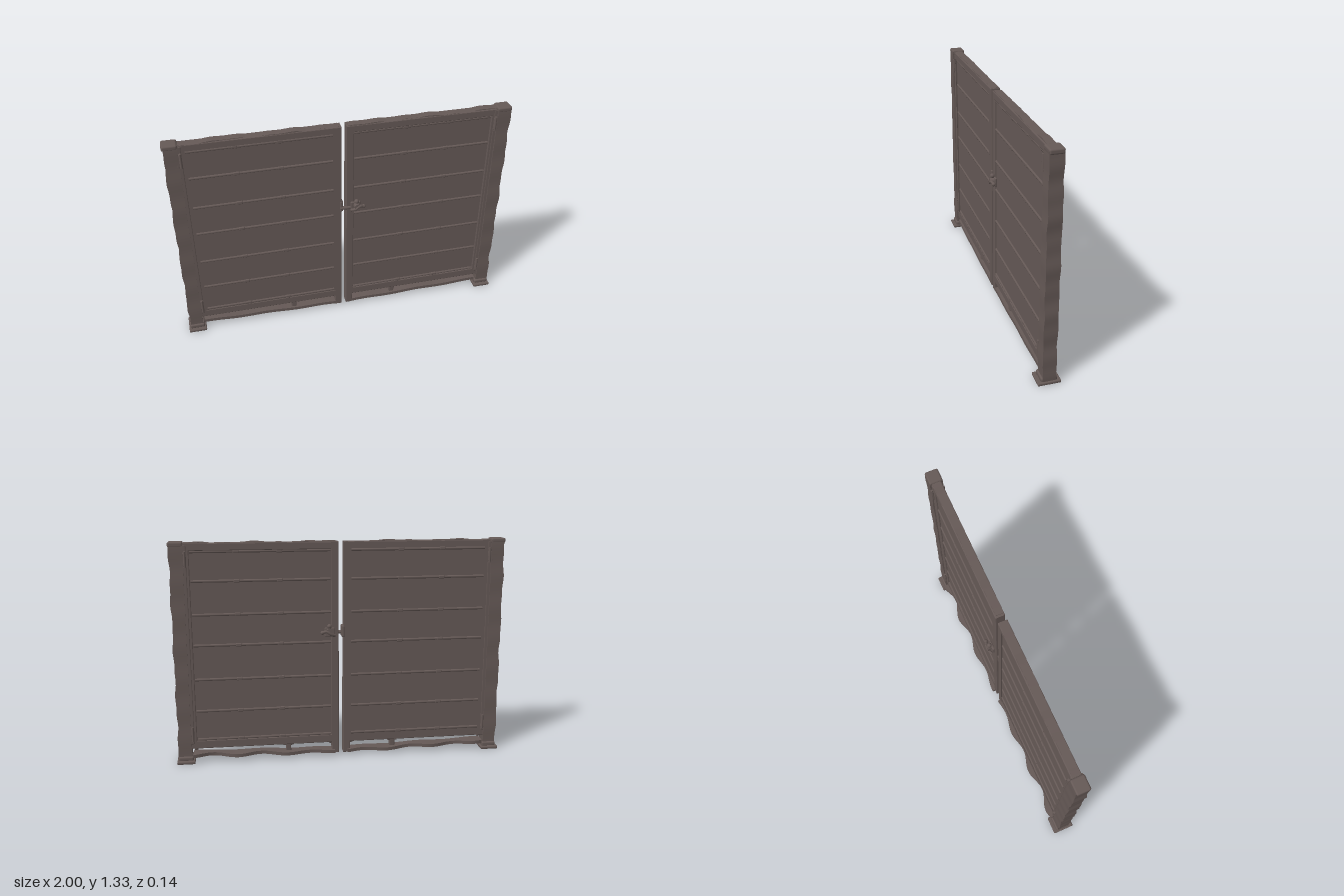
import * as THREE from 'three';
import { RoundedBoxGeometry } from 'three/addons/geometries/RoundedBoxGeometry.js';

const material = new THREE.MeshStandardMaterial({ color: 0x655956, side: THREE.DoubleSide });

function add(parent, name, geometry, x = 0, y = 0, z = 0) {
  const mesh = new THREE.Mesh(geometry, material);
  mesh.name = name;
  mesh.position.set(x, y, z);
  parent.add(mesh);
  return mesh;
}

const block = (w, h, d, r = 0.006) => new RoundedBoxGeometry(w, h, d, 2, r);

// Moves every vertex of a geometry by a rule
function bend(geometry, rule) {
  const p = geometry.attributes.position;
  const v = new THREE.Vector3();
  for (let i = 0; i < p.count; i++) {
    v.fromBufferAttribute(p, i);
    rule(v);
    p.setXYZ(i, v.x, v.y, v.z);
  }
  geometry.computeVertexNormals();
  return geometry;
}

// Rectangle path from corner to corner
function rect(path, x0, y0, x1, y1) {
  path.moveTo(x0, y0);
  path.lineTo(x1, y0);
  path.lineTo(x1, y1);
  path.lineTo(x0, y1);
  path.closePath();
  return path;
}

// One leaf on the side s (+1 or -1)
function makeLeaf(s) {
  const leaf = new THREE.Group();
  leaf.name = s > 0 ? 'leftLeaf' : 'rightLeaf';

  // Frame with a long meeting stile and one panel opening
  const shape = new THREE.Shape();
  [[0.018, 0.02], [0.05, 0.02], [0.054, 0.09], [0.915, 0.09], [0.915, 1.317], [0.018, 1.317]]
    .forEach(([x, y], i) => (i ? shape.lineTo(s * x, y) : shape.moveTo(s * x, y)));
  shape.closePath();
  shape.holes.push(rect(new THREE.Path(), s * 0.056, 0.132, s * 0.88, 1.282));
  const frame = new THREE.ExtrudeGeometry(shape, {
    depth: 0.046, bevelEnabled: true, bevelThickness: 0.005, bevelSize: 0.004, bevelSegments: 2,
  });
  add(leaf, 'frame', frame, 0, 0, -0.023);

  // Worn uneven top edge
  const top = bend(new THREE.BoxGeometry(0.88, 0.02, 0.046, 40, 1, 2), v => {
    if (v.y > 0) v.y += 0.003 * Math.sin(v.x * 17 + s) + 0.002 * Math.sin(v.x * 41);
    v.z += 0.003 * Math.sin(v.x * 13);
  });
  add(leaf, 'topEdge', top, s * 0.467, 1.313, 0);

  // Boarding and horizontal ribs on both faces
  add(leaf, 'panel', new THREE.BoxGeometry(0.85, 1.18, 0.036), s * 0.468, 0.707, 0);
  for (const y of [0.142, 0.32, 0.515, 0.722, 0.905, 1.102, 1.272]) {
    for (const face of [1, -1]) {
      const rib = add(leaf, 'rib', new THREE.CylinderGeometry(0.008, 0.008, 0.81, 10), s * 0.467, y, face * 0.018);
      rib.rotation.z = Math.PI / 2;
      for (const x of [0.36, 0.61]) {
        add(leaf, 'ribClip', block(0.035, 0.02, 0.013, 0.005), s * x, y, face * 0.021);
      }
    }
  }

  // Warped lower rail: flat front edge, wavy back edge
  const rail = bend(new THREE.BoxGeometry(0.86, 0.02, 0.055, 48, 1, 4), v => {
    const t = v.x * s / 0.86 + 0.5;
    if (v.z < 0) v.z *= 1.4 + 0.8 * Math.sin(t * 19 + (s > 0 ? 1.2 : 2.6)) * (0.35 + 0.65 * t);
    v.y += 0.018 * t + 0.003 * Math.sin(t * 15);
  });
  add(leaf, 'lowerRail', rail, s * 0.47, 0.029, 0);
  add(leaf, 'railStrut', block(0.032, 0.07, 0.03), s * 0.325, 0.065, 0);
  for (const [x, y] of [[0.062, 0.085], [0.306, 0.085], [0.344, 0.085], [0.885, 0.083]]) {
    add(leaf, 'gusset', block(0.025, 0.02, 0.03), s * x, y, 0);
  }

  // Hinge plates and pins
  for (const y of [0.18, 1.23]) {
    for (const face of [1, -1]) {
      add(leaf, 'hingePlate', block(0.03, 0.075, 0.012, 0.004), s * 0.907, y, face * 0.031);
      add(leaf, 'hingePin', new THREE.CylinderGeometry(0.007, 0.007, 0.09, 10), s * 0.9, y, face * 0.036);
    }
  }
  return leaf;
}

// Side post with base plate and cap
function makePost(s) {
  const post = new THREE.Group();
  post.name = s > 0 ? 'leftPost' : 'rightPost';
  const body = bend(new THREE.BoxGeometry(0.078, 1.31, 0.076, 2, 60, 2), v => {
    if (v.x * s > 0.03) v.x += s * (0.003 * Math.sin(v.y * 21 + s) + 0.002 * Math.sin(v.y * 47));
    v.z += 0.0015 * Math.sin(v.y * 33) * Math.sign(v.z);
  });
  add(post, 'postBody', body, s * 0.949, 0.665, 0);
  add(post, 'postCap', block(0.086, 0.03, 0.08, 0.01), s * 0.951, 1.315, 0);
  add(post, 'jamb', block(0.03, 1.2, 0.06), s * 0.905, 0.715, 0);
  add(post, 'basePlate', block(0.108, 0.018, 0.13, 0.006), s * 0.945, 0.01, 0);
  add(post, 'baseCollar', block(0.09, 0.03, 0.092, 0.01), s * 0.945, 0.028, 0);
  return post;
}

// Latch with a lever on each face
function makeLatch() {
  const latch = new THREE.Group();
  latch.name = 'latch';
  for (const face of [1, -1]) {
    add(latch, 'latchPlate', block(0.06, 0.055, 0.014), 0.07, 0.785, face * 0.031);
    const hub = add(latch, 'latchHub', new THREE.CylinderGeometry(0.017, 0.02, 0.035, 14), 0.075, 0.79, face * 0.045);
    hub.rotation.x = Math.PI / 2;
    const path = new THREE.CatmullRomCurve3([
      new THREE.Vector3(0.04, 0.765, face * 0.045),
      new THREE.Vector3(0.065, 0.775, face * 0.058),
      new THREE.Vector3(0.09, 0.792, face * 0.058),
      new THREE.Vector3(0.115, 0.785, face * 0.05),
    ]);
    add(latch, 'lever', new THREE.TubeGeometry(path, 16, 0.009, 8));
    add(latch, 'leverKnob', new THREE.SphereGeometry(0.014, 12, 8), 0.073, 0.822, face * 0.046);
    add(latch, 'leverEnd', new THREE.SphereGeometry(0.012, 12, 8), 0.115, 0.785, face * 0.05);
  }
  const bolt = add(latch, 'bolt', new THREE.CylinderGeometry(0.011, 0.011, 0.08, 10), 0.018, 0.772, 0.025);
  bolt.rotation.z = Math.PI / 2;
  add(latch, 'keeper', block(0.02, 0.07, 0.06), -0.014, 0.785, 0);
  return latch;
}

export function createModel() {
  const gate = new THREE.Group();
  gate.name = 'gate';
  for (const s of [1, -1]) gate.add(makeLeaf(s), makePost(s));
  gate.add(makeLatch());
  return gate;
}
